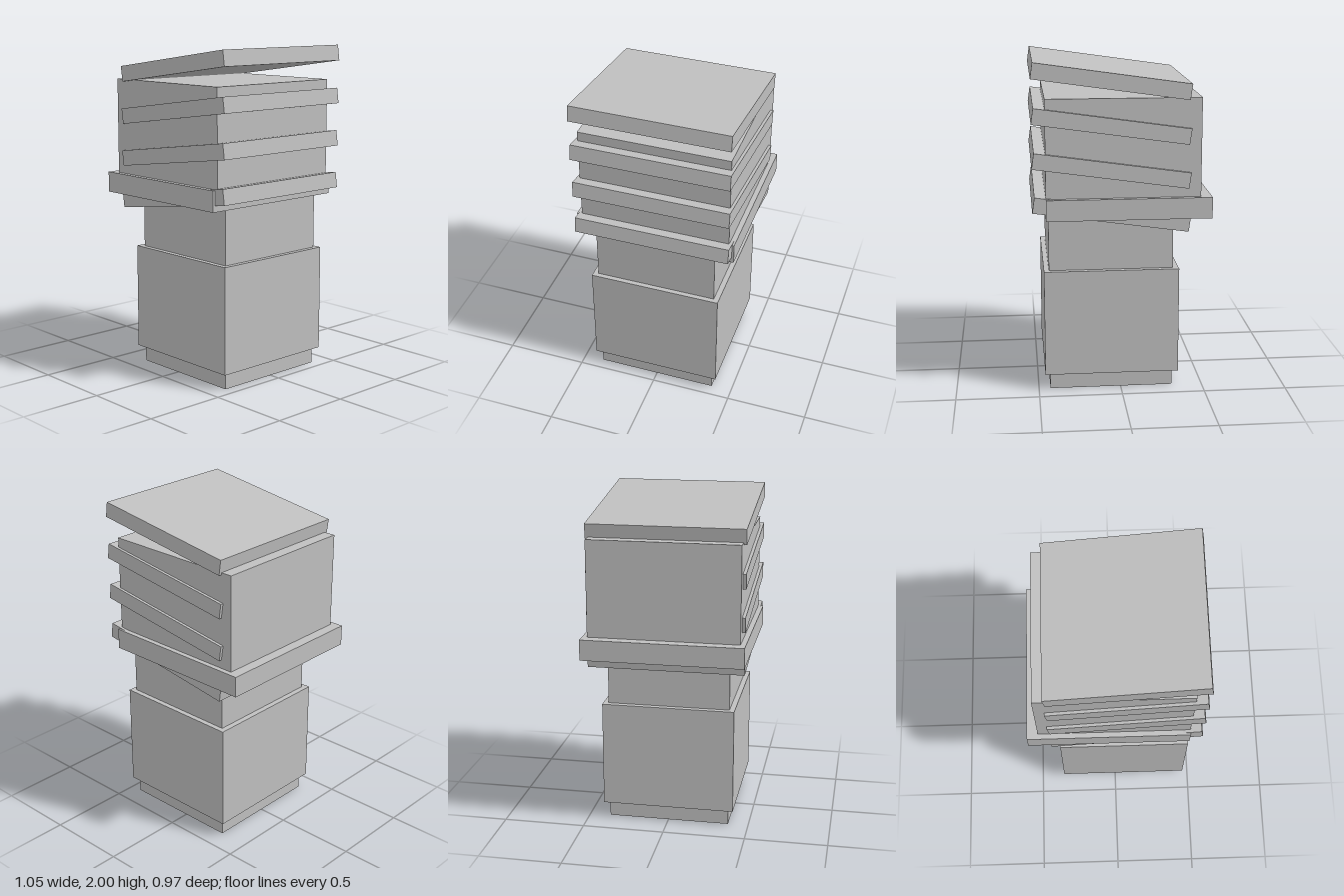
import * as THREE from 'three';

export function createModel() {
  const group = new THREE.Group();
  const grey = new THREE.MeshStandardMaterial({ color: 0xbfbfbf });
  grey.name = 'grey';

  // Box given by its limits on each axis
  function block(name, [x0, x1], [y0, y1], [z0, z1]) {
    const mesh = new THREE.Mesh(new THREE.BoxGeometry(x1 - x0, y1 - y0, z1 - z0), grey);
    mesh.position.set((x0 + x1) / 2, (y0 + y1) / 2, (z0 + z1) / 2);
    mesh.name = name;
    group.add(mesh);
    return mesh;
  }

  // Square shaft with a wider sleeve around it
  block('shaft', [-0.315, 0.43], [0, 1.1], [-0.371, 0.375]);
  block('sleeve', [-0.35, 0.46], [0.1, 0.75], [-0.403, 0.407]);

  // Flange and head
  block('flange', [-0.53, 0.445], [1.08, 1.206], [-0.489, 0.485]);
  block('head', [-0.465, 0.445], [1.19, 1.79], [-0.458, 0.453]);

  // Four tilted thread plates, evenly spaced
  for (let i = 0; i < 4; i++) {
    const y = 1.11 + i * 0.2595;
    const plate = block('threadPlate' + (i + 1), [-0.4025, 0.5225], [y - 0.047, y + 0.047], [-0.476, 0.472]);
    plate.rotation.z = THREE.MathUtils.degToRad(8.1);
  }

  return group;
}
